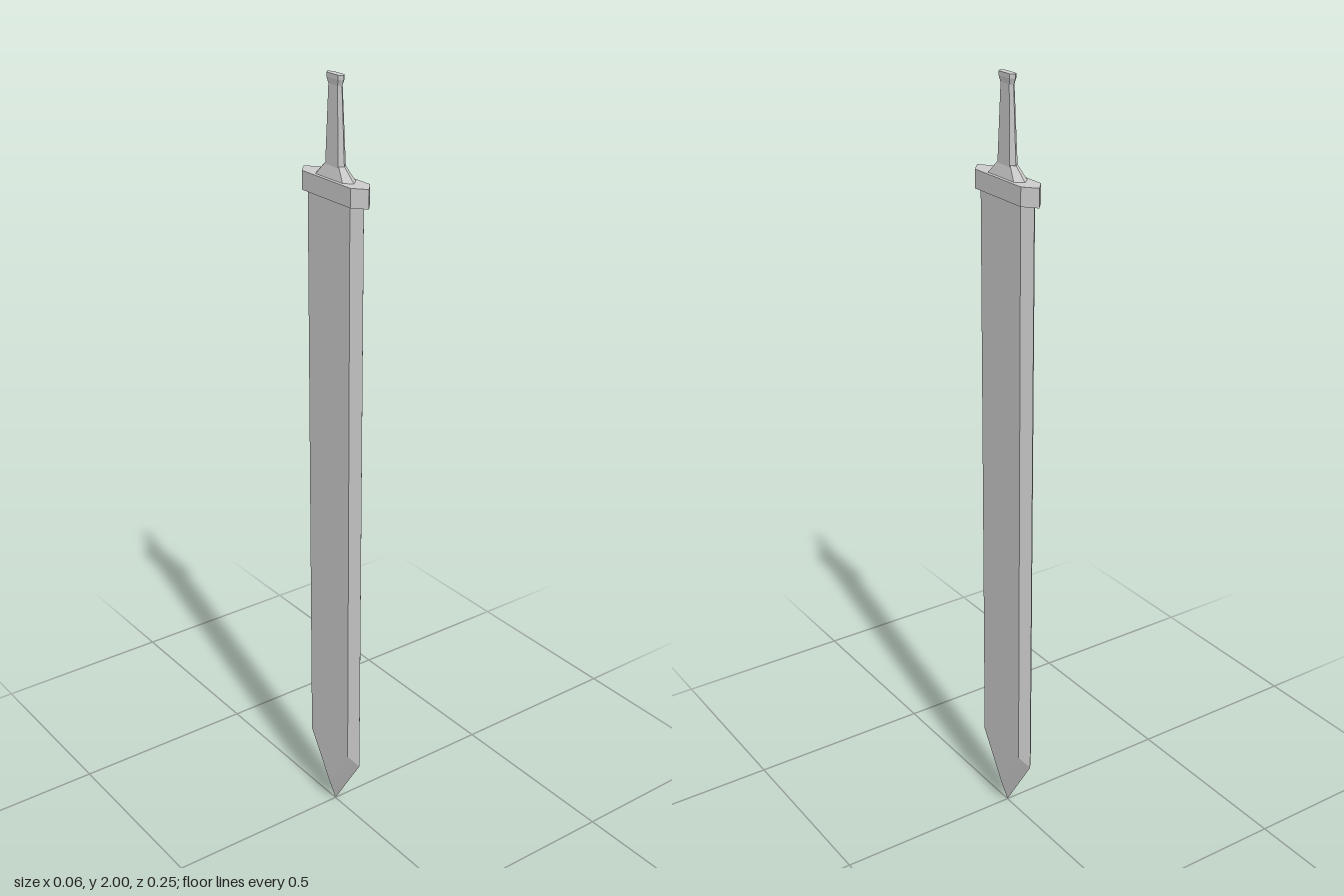
import * as THREE from 'three';

const material = new THREE.MeshStandardMaterial({ color: 0xcccccc, flatShading: true });

// Ring of a six-sided section: two edges on z, two flats on +-x.
function ring({ hx, edge: [ey, ez], flat: [fy, fz] }) {
  return [[0, ey, ez], [hx, fy, fz], [hx, fy, -fz], [0, ey, -ez], [-hx, fy, -fz], [-hx, fy, fz]];
}

// Level section at height y
const level = (y, hx, ez, fz) => ({ hx, edge: [y, ez], flat: [y, fz] });

// Skin the sections from bottom to top and cap both ends.
function loft(name, sections) {
  const rings = sections.map(ring);
  const pos = [];
  const tri = (...p) => pos.push(...p.flat());
  for (let r = 0; r < rings.length - 1; r++) {
    const lo = rings[r], hi = rings[r + 1];
    for (let i = 0; i < 6; i++) {
      const j = (i + 1) % 6;
      tri(lo[i], lo[j], hi[j]);
      tri(lo[i], hi[j], hi[i]);
    }
  }
  const bottom = rings[0], top = rings[rings.length - 1];
  for (let i = 1; i < 5; i++) {
    tri(bottom[0], bottom[i + 1], bottom[i]);
    tri(top[0], top[i], top[i + 1]);
  }
  const geometry = new THREE.BufferGeometry();
  geometry.setAttribute('position', new THREE.Float32BufferAttribute(pos, 3));
  geometry.computeVertexNormals();
  const mesh = new THREE.Mesh(geometry, material);
  mesh.name = name;
  return mesh;
}

export function createModel() {
  const group = new THREE.Group();
  group.name = 'sword';
  group.add(
    // Blade: the lowest section collapses to the bevelled point
    loft('blade', [
      { hx: 0.02, edge: [0.005, 0], flat: [0.07, 0] },
      { hx: 0.02, edge: [0.175, 0.108], flat: [0.2, 0.082] },
      level(1.73, 0.02, 0.108, 0.082),
    ]),
    // Crossguard
    loft('guard', [
      level(1.718, 0.028, 0.127, 0.094),
      level(1.764, 0.028, 0.127, 0.094),
    ]),
    // Sloped collar between guard and grip
    loft('collar', [
      level(1.76, 0.02, 0.075, 0.056),
      level(1.795, 0.01, 0.035, 0.026),
    ]),
    // Tapered grip
    loft('grip', [
      level(1.79, 0.011, 0.034, 0.025),
      level(1.982, 0.007, 0.024, 0.017),
    ]),
    // Flared end cap
    loft('pommel', [
      level(1.975, 0.007, 0.025, 0.017),
      level(1.99, 0.009, 0.031, 0.022),
      level(2.0, 0.009, 0.031, 0.022),
    ]),
  );
  return group;
}
